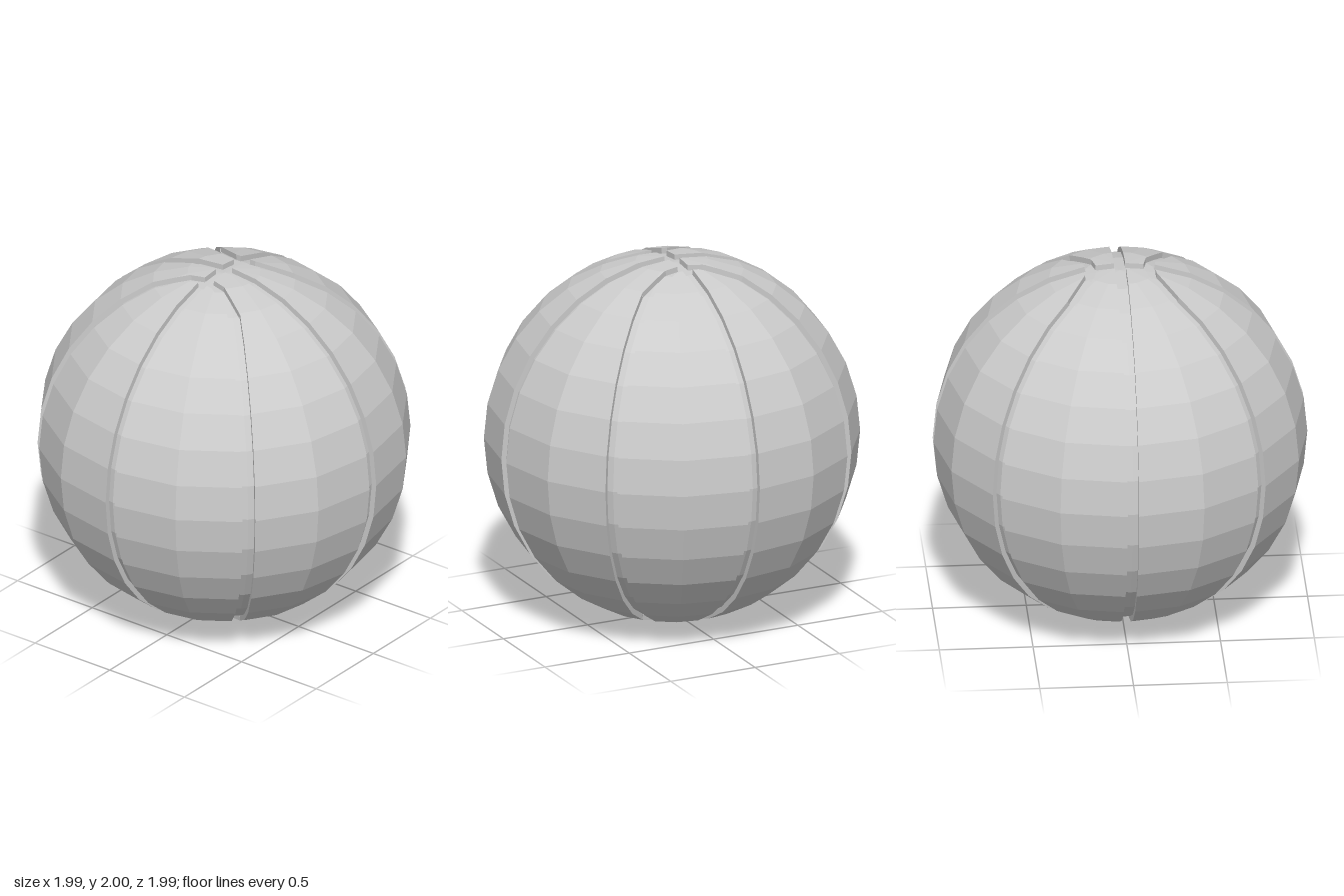
import * as THREE from 'three';

const R = 1.003, SEG = 16, GAP = 0.03, DEPTH = 0.95;

// Groove edges seen from above in one quadrant (x, z): they run diagonally, then bend towards the pole
const OUTER = [[GAP, 0.188], [0.065, 0.191], [0.25, 0.296], [2, 2.046]];
const INNER = [[GAP, 0.128], [0.11, 0.145], [0.3, 0.25], [2, 1.95]];

// Vertical cutting plane: keeps a*x + b*z >= c; walls get a groove side
const plane = (a, b, c, wall = true) => {
  const l = Math.hypot(a, b);
  return { a: a / l, b: b / l, c: c / l, wall };
};
const through = ([x0, z0], [x1, z1], side) => {
  const a = (z0 - z1) * side, b = (x1 - x0) * side;
  return plane(a, b, a * x0 + b * z0);
};
const mirror = (planes, sx, sz) => planes.map((p) => ({ ...p, a: p.a * sx, b: p.b * sz }));
const dist = (p, v) => p.a * v.x + p.b * v.z - p.c;

function clip(poly, p) {
  const out = [];
  poly.forEach((v, i) => {
    const w = poly[(i + 1) % poly.length];
    const dv = dist(p, v), dw = dist(p, w);
    if (dv >= 0) out.push(v);
    if (dv * dw < 0) out.push(v.clone().lerp(w, dv / (dv - dw)));
  });
  return out;
}

// Flat facets of the ball, wound outwards
function ballFacets() {
  const at = (i, j) => new THREE.Vector3().setFromSphericalCoords(R, (j * Math.PI) / SEG, (i * 2 * Math.PI) / SEG);
  const facets = [];
  for (let j = 0; j < SEG; j++) {
    for (let i = 0; i < SEG; i++) {
      const f = [at(i, j), at(i, j + 1), at(i + 1, j + 1), at(i + 1, j)];
      if (j === 0) f.pop();
      if (j === SEG - 1) f.splice(1, 1);
      facets.push(f);
    }
  }
  return facets;
}

// One raised panel: the facets inside the cutting planes, with walls down into the grooves
function panelGeometry(facets, pieces) {
  const pos = [];
  const fan = (poly) => {
    for (let i = 1; i < poly.length - 1; i++) {
      for (const v of [poly[0], poly[i], poly[i + 1]]) pos.push(v.x, v.y, v.z);
    }
  };
  for (const planes of pieces) {
    for (const facet of facets) {
      const poly = planes.reduce(clip, facet);
      if (poly.length < 3) continue;
      fan(poly);
      poly.forEach((v, i) => {
        const w = poly[(i + 1) % poly.length];
        for (const p of planes) {
          if (!p.wall || Math.abs(dist(p, v)) > 1e-6 || Math.abs(dist(p, w)) > 1e-6) continue;
          const foot = new THREE.Vector3(p.a * p.c, 0, p.b * p.c);
          const sink = (u) => foot.clone().lerp(u, DEPTH);
          fan([w, v, sink(v), sink(w)]);
        }
      });
    }
  }
  const g = new THREE.BufferGeometry();
  g.setAttribute('position', new THREE.Float32BufferAttribute(pos, 3));
  g.computeVertexNormals();
  return g;
}

export function createModel() {
  const group = new THREE.Group();
  const mat = new THREE.MeshStandardMaterial({ color: 0xcccccc, flatShading: true });
  const add = (geometry, name) => {
    const mesh = new THREE.Mesh(geometry, mat);
    mesh.name = name;
    mesh.position.y = 1;
    group.add(mesh);
  };

  // Groove floor
  add(new THREE.SphereGeometry(0.973, SEG, SEG), 'core');

  // Panels next to the front-back line: one convex piece
  const endPiece = [plane(1, 0, GAP)];
  for (let i = 0; i < 3; i++) endPiece.push(through(OUTER[i], OUTER[i + 1], 1));

  // Panels next to the left-right line: cut in strips, since their bent edge is concave
  const sidePieces = [0, 1, 2].map((i) => [
    plane(1, 0, INNER[i][0], i === 0),
    plane(-1, 0, -INNER[i + 1][0], false),
    plane(0, 1, GAP),
    through(INNER[i], INNER[i + 1], -1),
  ]);

  const facets = ballFacets();
  for (const sx of [1, -1]) {
    for (const sz of [1, -1]) {
      const corner = (sz > 0 ? 'front' : 'back') + (sx > 0 ? 'Left' : 'Right');
      add(panelGeometry(facets, [mirror(endPiece, sx, sz)]), corner + 'EndPanel');
      add(panelGeometry(facets, sidePieces.map((p) => mirror(p, sx, sz))), corner + 'SidePanel');
    }
  }
  return group;
}
